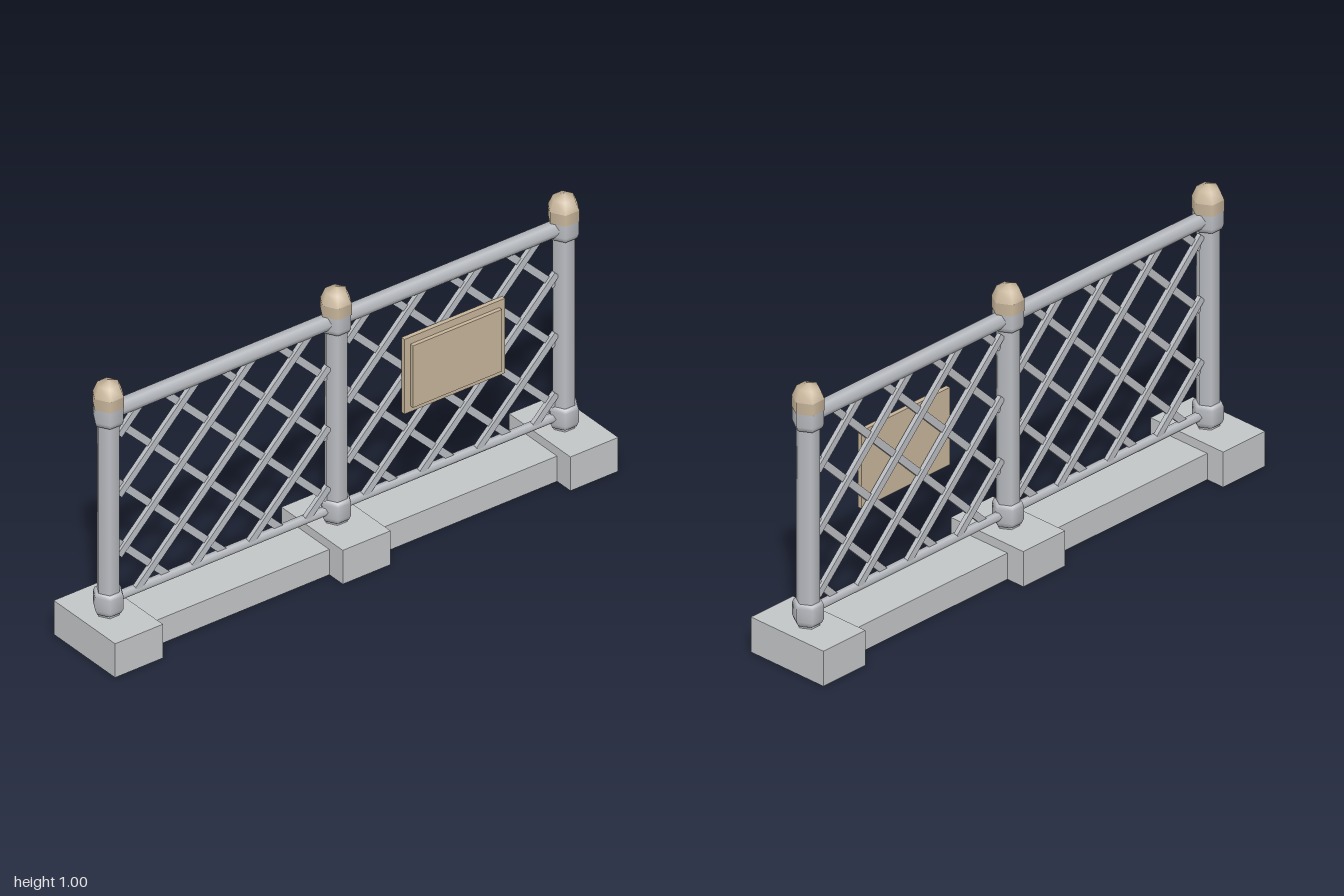
import * as THREE from 'three';

const concrete = new THREE.MeshStandardMaterial({ color: 0xc2c5c6 });
concrete.name = 'concrete grey';
const metal = new THREE.MeshStandardMaterial({ color: 0xb9bcc1 });
metal.name = 'metal grey';
const tan = new THREE.MeshStandardMaterial({ color: 0xc6b49a });
tan.name = 'tan';

const POST_X = 0.905;

function add(parent, name, geometry, material, x = 0, y = 0, z = 0) {
  const mesh = new THREE.Mesh(geometry, material);
  mesh.name = name;
  mesh.position.set(x, y, z);
  parent.add(mesh);
  return mesh;
}

// Six-sided turned shape with corners on the x axis
function hexLathe(profile) {
  const points = profile.map(([r, y]) => new THREE.Vector2(r, y));
  return new THREE.LatheGeometry(points, 6, Math.PI / 2);
}

function makePost(x) {
  const post = new THREE.Group();
  post.name = 'post';
  post.position.x = x;
  add(post, 'footing', new THREE.BoxGeometry(0.19, 0.127, 0.32), concrete, 0, 0.0635);
  add(post, 'postShaft', hexLathe([[0.039, 0.12], [0.039, 0.9]]), metal);
  add(post, 'lowerCollar', hexLathe([
    [0.038, 0.132], [0.045, 0.137], [0.052, 0.153], [0.052, 0.2], [0.047, 0.212], [0.038, 0.213],
  ]), metal);
  add(post, 'upperCollar', hexLathe([
    [0.038, 0.84], [0.047, 0.842], [0.052, 0.858], [0.052, 0.907],
  ]), metal);
  add(post, 'capUnderside', hexLathe([[0, 0.906], [0.054, 0.906]]), tan);
  add(post, 'capBand', hexLathe([[0.054, 0.906], [0.054, 0.947]]), tan);
  add(post, 'capDome', hexLathe([[0.054, 0.947], [0.038, 0.985], [0, 1]]), tan);
  return post;
}

function makeRail(parent, name, radius, y) {
  const geometry = new THREE.CylinderGeometry(radius, radius, POST_X * 2, 6);
  geometry.rotateZ(Math.PI / 2);
  add(parent, name, geometry, metal, 0, y);
}

// Crossed diagonal bars, each clipped to the opening between posts and rails
function makeLattice(centreX) {
  const lattice = new THREE.Group();
  lattice.name = 'lattice';
  lattice.position.set(centreX, 0.523, 0);
  const halfW = 0.417, halfH = 0.345, spacing = 0.225;
  for (const [slope, shift] of [[1, 0], [-1, 0.5]]) {
    for (let i = -3; i <= 3; i++) {
      const offset = (i + shift) * spacing;
      const x0 = Math.max(-halfW, offset - halfH);
      const x1 = Math.min(halfW, offset + halfH);
      if (x1 - x0 < 0.03) continue;
      const mid = (x0 + x1) / 2;
      const bar = add(lattice, 'latticeBar',
        new THREE.BoxGeometry((x1 - x0) * Math.SQRT2, 0.025, 0.016), metal,
        mid, slope * (mid - offset), slope * 0.005);
      bar.rotation.z = slope * Math.PI / 4;
    }
  }
  return lattice;
}

export function createModel() {
  const model = new THREE.Group();
  model.name = 'fence';

  for (const x of [-POST_X, 0, POST_X]) model.add(makePost(x));

  // Low kerbs and lattice between the posts
  for (const side of [-1, 1]) {
    add(model, 'kerb', new THREE.BoxGeometry(0.72, 0.095, 0.18), concrete, side * 0.4525, 0.0475);
    model.add(makeLattice(side * POST_X / 2));
  }

  makeRail(model, 'topRail', 0.028, 0.88);
  makeRail(model, 'bottomRail', 0.016, 0.174);

  // Blank sign with a raised panel
  const sign = new THREE.Group();
  sign.name = 'sign';
  sign.position.set(0.451, 0.577, 0);
  add(sign, 'signBoard', new THREE.BoxGeometry(0.4, 0.28, 0.016), tan, 0, 0, 0.02);
  add(sign, 'signPanel', new THREE.BoxGeometry(0.354, 0.232, 0.014), tan, 0, -0.002, 0.035);
  model.add(sign);

  return model;
}
